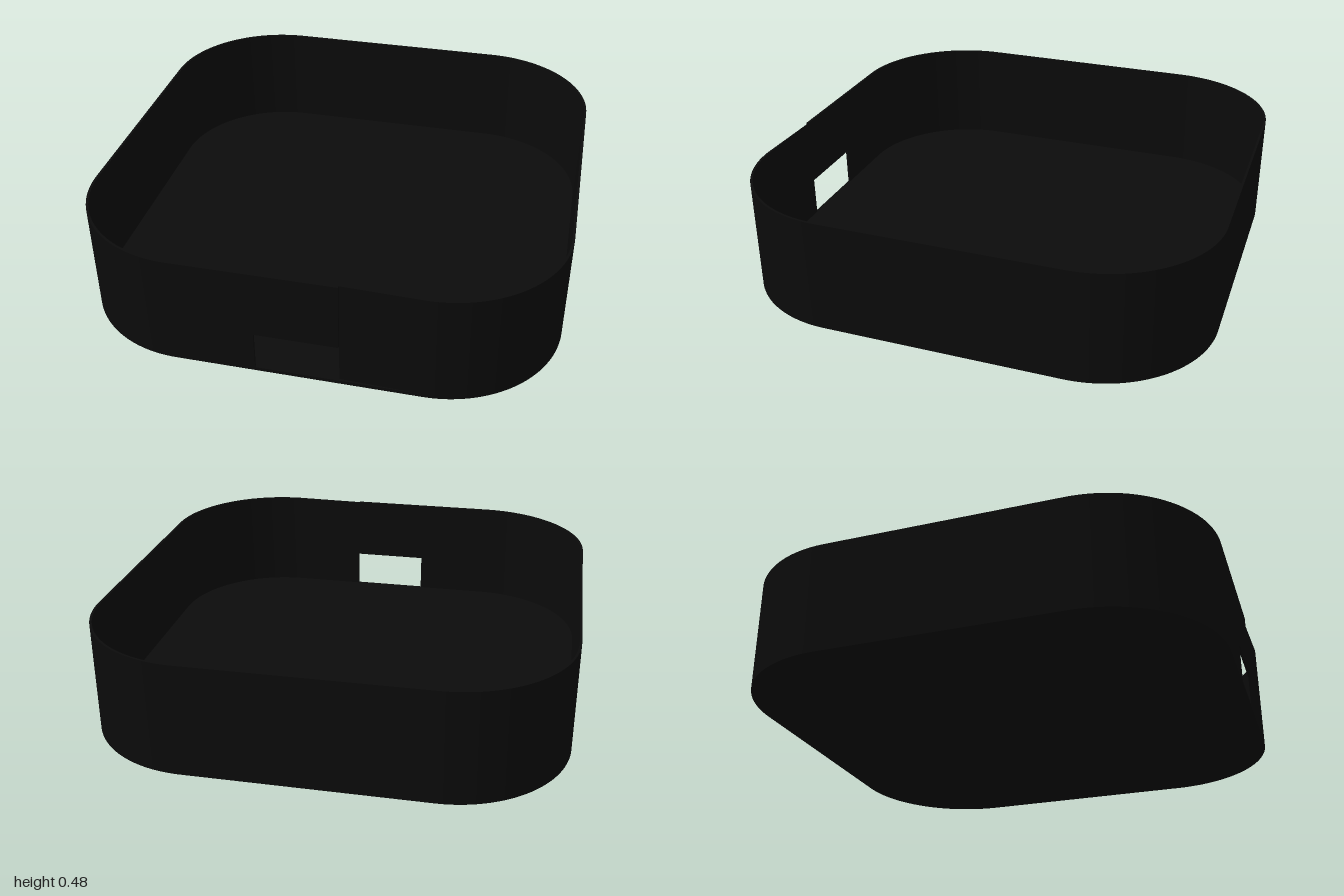
import * as THREE from 'three';
import { toCreasedNormals } from 'three/addons/utils/BufferGeometryUtils.js';

const HEIGHT = 0.48, FLOOR = 0.015, WALL = 0.01, RADIUS = 0.5;
const WINDOW_HALF = 0.17, WINDOW_TOP = 0.185;
const C = 1 - RADIUS; // corner arc centres

// The four corners, counter-clockwise from the front left one: [x, y, start angle]
const CORNERS = [
  [C, -C, -Math.PI / 2],
  [C, C, 0],
  [-C, C, Math.PI / 2],
  [-C, -C, Math.PI],
];

// Extrudes a plan shape upwards; shape -y becomes the front (+z)
function slab(shape, bottom, top) {
  const geometry = new THREE.ExtrudeGeometry(shape, { depth: top - bottom, bevelEnabled: false, curveSegments: 20 });
  geometry.rotateX(-Math.PI / 2);
  geometry.translate(0, bottom, 0);
  return toCreasedNormals(geometry, 0.5);
}

export function createModel() {
  const group = new THREE.Group();
  group.name = 'tray';
  const material = new THREE.MeshStandardMaterial({ color: 0x0b0b0b });
  const add = (name, geometry) => {
    const mesh = new THREE.Mesh(geometry, material);
    mesh.name = name;
    group.add(mesh);
    return mesh;
  };

  // Floor: rounded square plate
  const plate = new THREE.Shape();
  for (const [x, y, a] of CORNERS) plate.absarc(x, y, RADIUS, a, a + Math.PI / 2, false);
  plate.closePath();
  add('floor', slab(plate, 0, FLOOR));

  // Wall: thin rounded ring, open at the front window
  const ring = new THREE.Shape();
  ring.moveTo(WINDOW_HALF, -1);
  for (const [x, y, a] of CORNERS) ring.absarc(x, y, RADIUS, a, a + Math.PI / 2, false);
  ring.lineTo(-WINDOW_HALF, -1);
  ring.lineTo(-WINDOW_HALF, -1 + WALL);
  for (const [x, y, a] of [...CORNERS].reverse()) ring.absarc(x, y, RADIUS - WALL, a + Math.PI / 2, a, true);
  ring.lineTo(WINDOW_HALF, -1 + WALL);
  ring.closePath();
  add('wall', slab(ring, FLOOR, HEIGHT));

  // Strip of wall above the window
  const strip = add('wallAboveWindow', new THREE.BoxGeometry(2 * WINDOW_HALF, HEIGHT - WINDOW_TOP, WALL));
  strip.position.set(0, (HEIGHT + WINDOW_TOP) / 2, 1 - WALL / 2);

  return group;
}
